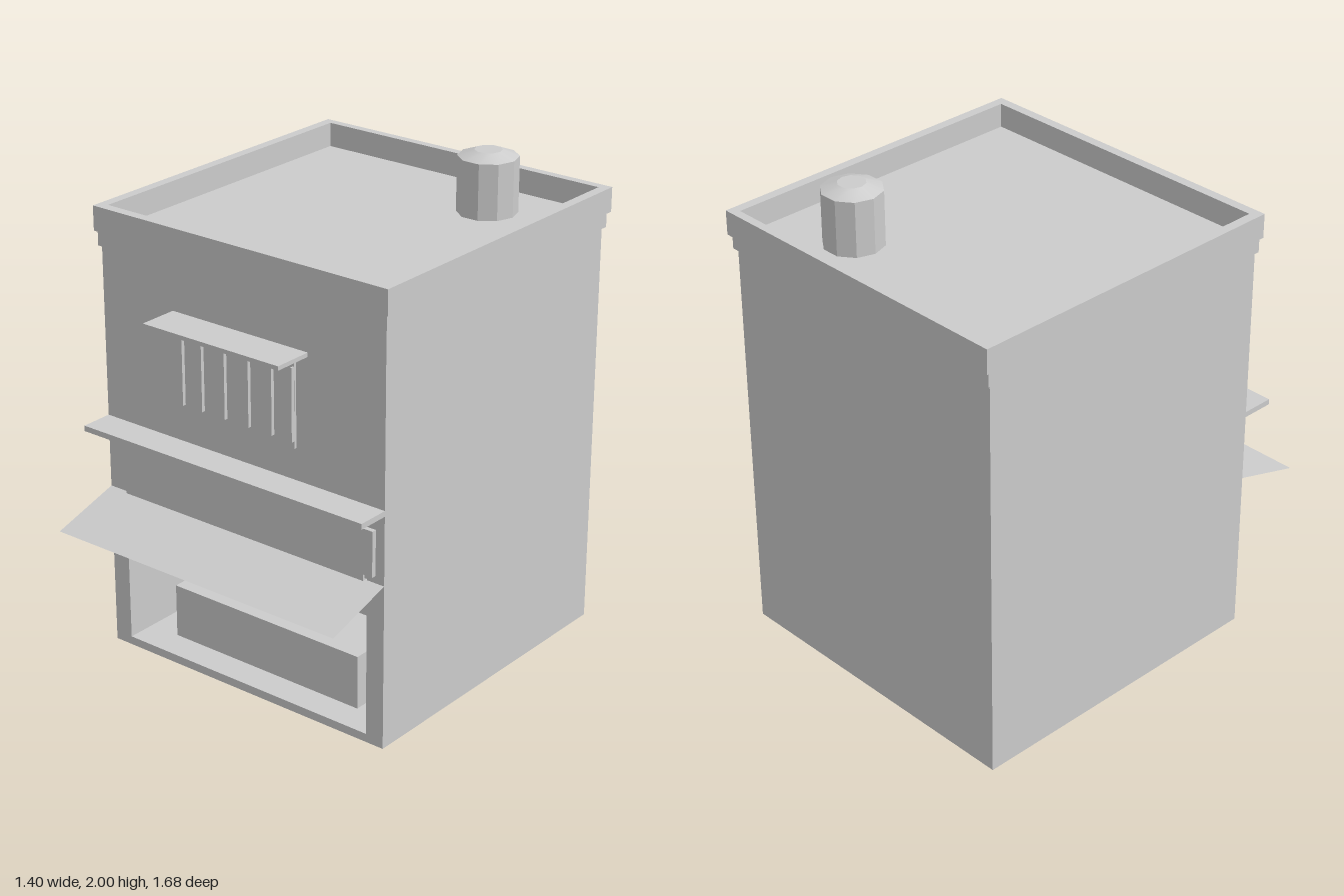
import * as THREE from 'three';

export function createModel() {
  const model = new THREE.Group();
  const plaster = new THREE.MeshStandardMaterial({ color: 0xcccccc });
  plaster.name = 'light grey';
  const sheet = new THREE.MeshStandardMaterial({ color: 0xcccccc, side: THREE.DoubleSide });
  sheet.name = 'light grey sheet';

  const add = (name, geometry, parent = model, material = plaster) => {
    const mesh = new THREE.Mesh(geometry, material);
    mesh.name = name;
    parent.add(mesh);
    return mesh;
  };
  // Box given by its limits on each axis
  const box = (name, x0, x1, y0, y1, z0, z1, parent = model) => {
    const mesh = add(name, new THREE.BoxGeometry(x1 - x0, y1 - y0, z1 - z0), parent);
    mesh.position.set((x0 + x1) / 2, (y0 + y1) / 2, (z0 + z1) / 2);
    return mesh;
  };
  const rect = (T, x0, x1, y0, y1) => {
    const r = new T();
    r.moveTo(x0, y0).lineTo(x1, y0).lineTo(x1, y1).lineTo(x0, y1).closePath();
    return r;
  };
  const group = (name) => {
    const g = new THREE.Group();
    g.name = name;
    model.add(g);
    return g;
  };

  // Building: front half with the shop opening, solid rear half
  const front = rect(THREE.Shape, -0.68, 0.68, 0, 1.69);
  front.holes.push(rect(THREE.Path, -0.6, 0.6, 0.035, 0.69));
  const frontGeo = new THREE.ExtrudeGeometry(front, { depth: 0.745, bevelEnabled: false });
  add('frontBody', frontGeo.translate(0, 0, -0.2));
  box('rearBody', -0.68, 0.68, 0, 1.69, -0.81, -0.2);

  // Cornice and roof parapet
  box('cornice', -0.69, 0.69, 1.69, 1.75, -0.825, 0.555);
  const rim = rect(THREE.Shape, -0.7, 0.7, -0.565, 0.84);
  rim.holes.push(rect(THREE.Path, -0.66, 0.66, -0.525, 0.805));
  const rimGeo = new THREE.ExtrudeGeometry(rim, { depth: 0.1, bevelEnabled: false });
  add('parapet', rimGeo.rotateX(-Math.PI / 2).translate(0, 1.75, 0));

  // Chimney with a chamfered cap
  const chimney = group('chimney');
  chimney.position.set(0.325, 1.75, -0.545);
  chimney.rotation.y = Math.PI / 2;
  const pipe = new THREE.CylinderGeometry(0.12, 0.12, 0.225, 10).toNonIndexed();
  pipe.computeVertexNormals();
  add('chimneyPipe', pipe.translate(0, 0.1125, 0), chimney);
  add('chimneyCap', new THREE.CylinderGeometry(0.055, 0.12, 0.025, 10).translate(0, 0.2375, 0), chimney);

  // Window with thin upright bars and a small canopy
  const win = group('window');
  box('windowPanel', -0.27, 0.27, 1.12, 1.47, 0.545, 0.555, win);
  for (const x of [-0.266, -0.17, -0.058, 0.058, 0.17, 0.266])
    box('windowBar', x - 0.003, x + 0.003, 1.15, 1.445, 0.555, 0.57, win);
  box('windowCanopy', -0.325, 0.325, 1.495, 1.512, 0.545, 0.71, win);

  // Ledge, sign board and lintel
  box('ledge', -0.68, 0.68, 0.967, 0.99, 0.545, 0.68);
  box('signBoard', -0.645, 0.64, 0.715, 0.902, 0.545, 0.565);
  box('lintel', -0.59, 0.59, 0.63, 0.715, 0.54, 0.555);

  // Sloping awning sheet
  const awning = new THREE.BufferGeometry();
  awning.setAttribute('position', new THREE.Float32BufferAttribute([
    -0.68, 0.685, 0.545, -0.68, 0.597, 0.84, 0.68, 0.597, 0.84, 0.68, 0.685, 0.545], 3));
  awning.setIndex([0, 1, 2, 0, 2, 3]);
  awning.computeVertexNormals();
  add('awning', awning, model, sheet);

  // Counter and shelves inside the shop
  box('counter', -0.465, 0.46, 0.035, 0.26, 0.14, 0.42);
  box('lowerShelf', -0.6, 0.6, 0.2, 0.215, -0.2, 0.12);
  box('upperShelf', -0.6, 0.6, 0.39, 0.408, -0.2, 0.08);

  // Goods: [centre x, width, height] along each shelf
  const goods = group('goods');
  const upper = [[-0.56, 0.085, 0.08], [-0.44, 0.06, 0.05], [-0.37, 0.07, 0.1], [-0.275, 0.08, 0.07],
    [-0.17, 0.07, 0.09], [-0.08, 0.06, 0.12], [-0.01, 0.07, 0.1], [0.07, 0.07, 0.11], [0.15, 0.08, 0.1],
    [0.235, 0.07, 0.11], [0.32, 0.085, 0.05], [0.405, 0.06, 0.08], [0.48, 0.07, 0.08], [0.55, 0.09, 0.08]];
  const lower = [[-0.56, 0.085, 0.08], [-0.44, 0.1, 0.075], [-0.34, 0.09, 0.06], [-0.235, 0.09, 0.11],
    [-0.14, 0.07, 0.06], [-0.03, 0.08, 0.05], [0.075, 0.085, 0.1], [0.155, 0.06, 0.09],
    [0.245, 0.1, 0.12], [0.33, 0.06, 0.07], [0.39, 0.055, 0.11], [0.46, 0.06, 0.06], [0.55, 0.09, 0.08]];
  for (const [x, w, h] of upper) box('shelfItem', x - w / 2, x + w / 2, 0.408, 0.408 + h, -0.05, 0.03, goods);
  for (const [x, w, h] of lower) box('shelfItem', x - w / 2, x + w / 2, 0.215, 0.215 + h, 0, 0.08, goods);
  for (let i = 0; i < 10; i++) {
    const x = -0.518 + i * 0.114;
    box('hangingItem', x - 0.032, x + 0.032, 0.505, 0.583, 0.06, 0.12, goods);
  }
  return model;
}
